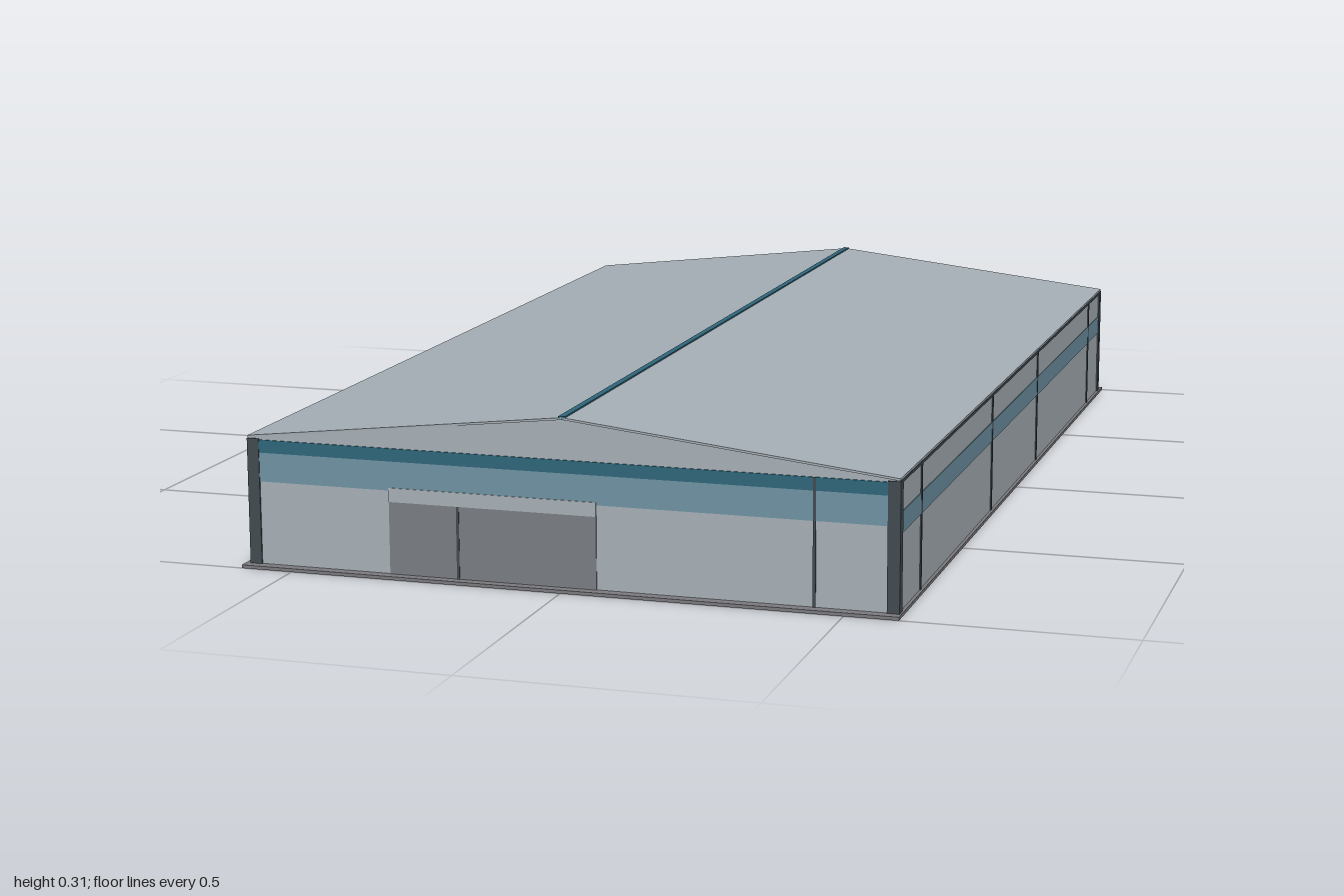
import * as THREE from 'three';

const mat = (name, color) => new THREE.MeshStandardMaterial({ name, color });

export function createModel() {
  const group = new THREE.Group();
  group.name = 'warehouse';
  const wall = mat('wall grey', 0xa9b2b9);
  const roof = mat('roof grey', 0xa6b0b7);
  const concrete = mat('concrete', 0x7c7c81);
  const trim = mat('dark trim', 0x434c51);
  const teal = mat('deep teal', 0x2f677b);
  const blue = mat('soft blue', 0x7094a5);
  const doorGrey = mat('door grey', 0x7b7e84);

  // Building extents
  const X0 = -0.583, X1 = 0.589, Z0 = -0.967, Z1 = 0.98;
  const FLOOR = 0.006, EAVE = 0.236, RIDGE = 0.303;

  // Box given by its minimum and maximum corners
  const box = (name, m, x0, x1, y0, y1, z0, z1) => {
    const mesh = new THREE.Mesh(new THREE.BoxGeometry(x1 - x0, y1 - y0, z1 - z0), m);
    mesh.position.set((x0 + x1) / 2, (y0 + y1) / 2, (z0 + z1) / 2);
    mesh.name = name;
    group.add(mesh);
  };

  // Ground slab
  box('slab', concrete, -0.595, 0.595, 0, FLOOR, -1, 1);

  // Gabled body
  const gable = new THREE.Shape([
    [X0, FLOOR], [X1, FLOOR], [X1, EAVE - 0.002], [0, RIDGE - 0.002], [X0, EAVE - 0.002],
  ].map(([x, y]) => new THREE.Vector2(x, y)));
  const body = new THREE.Mesh(
    new THREE.ExtrudeGeometry(gable, { depth: Z1 - Z0, bevelEnabled: false }), wall);
  body.position.z = Z0;
  body.name = 'walls';
  group.add(body);

  // Thin roof sheets
  const sheet = new THREE.Shape([
    [X0 - 0.002, EAVE - 0.003], [0, RIDGE - 0.003], [X1 + 0.002, EAVE - 0.003],
    [X1 + 0.002, EAVE + 0.001], [0, RIDGE + 0.001], [X0 - 0.002, EAVE + 0.001],
  ].map(([x, y]) => new THREE.Vector2(x, y)));
  const roofMesh = new THREE.Mesh(
    new THREE.ExtrudeGeometry(sheet, { depth: Z1 - Z0 + 0.004, bevelEnabled: false }), roof);
  roofMesh.position.z = Z0 - 0.002;
  roofMesh.name = 'roof';
  group.add(roofMesh);
  box('ridgeCap', teal, -0.006, 0.006, RIDGE - 0.002, RIDGE + 0.003, Z0 - 0.002, Z1 + 0.002);

  // Corner posts
  for (const x of [X0, X1 - 0.016])
    for (const z of [Z0, Z1 - 0.013])
      box('cornerPost', trim, x - 0.003, x + 0.019, FLOOR, EAVE - 0.004, z - 0.003, z + 0.016);

  // Eave gutters and side stripes
  for (const x of [X0, X1]) {
    box('gutter', trim, x - 0.003, x + 0.003, EAVE - 0.008, EAVE - 0.003, Z0, Z1);
    box('sideStripe', blue, x - 0.0015, x + 0.0015, 0.14, 0.177, Z0, Z1);
  }

  // Right wall joints
  for (const z of [0.82, 0.225, -0.225, -0.82])
    box('wallJoint', trim, X1 - 0.002, X1 + 0.002, FLOOR, EAVE - 0.004, z - 0.004, z + 0.004);

  // Front bands, sliding doors and joint
  box('frontTopBand', teal, X0, X1, 0.207, 0.23, Z1 - 0.002, Z1 + 0.002);
  box('frontBand', blue, X0, X1, 0.155, 0.207, Z1 - 0.002, Z1 + 0.0015);
  box('doorHeader', wall, -0.32, 0.06, 0.135, 0.16, Z1 - 0.002, Z1 + 0.003);
  box('frontDoor', doorGrey, -0.32, 0.06, FLOOR, 0.135, Z1 - 0.002, Z1 + 0.002);
  box('doorSeam', trim, -0.195, -0.19, FLOOR, 0.135, Z1, Z1 + 0.003);
  box('frontJoint', trim, 0.442, 0.447, FLOOR, 0.23, Z1, Z1 + 0.0025);

  // Back stripe and door
  box('backStripe', blue, X0, X1, 0.14, 0.177, Z0 - 0.0015, Z0 + 0.002);
  box('backDoor', doorGrey, -0.155, -0.02, FLOOR, 0.132, Z0 - 0.002, Z0 + 0.002);

  return group;
}
